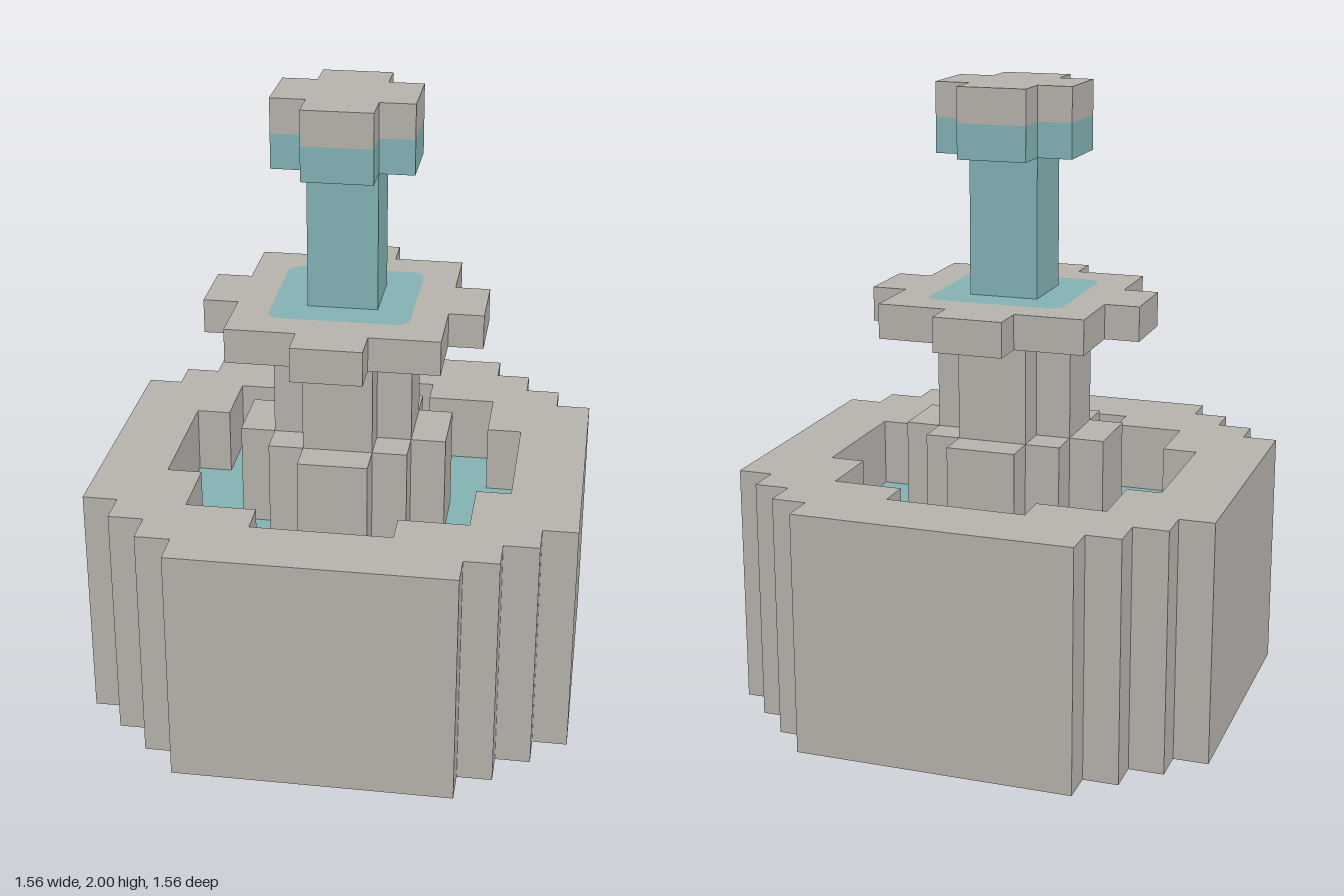
import * as THREE from 'three';

const U = 1 / 9; // one block

// Repeat a quarter outline four times by quarter turns, in block units (x, z)
function outline(quarter) {
  const pts = [];
  let q = quarter;
  for (let i = 0; i < 4; i++) {
    pts.push(...q);
    q = q.map(([x, z]) => [-z, x]);
  }
  return pts.map(([x, z]) => new THREE.Vector2(x * U, z * U));
}

// Upright flat faces along a closed outline
function wallGeometry(pts, y0, y1) {
  const pos = [];
  pts.forEach((a, i) => {
    const b = pts[(i + 1) % pts.length];
    const a0 = [a.x, y0 * U, a.y], a1 = [a.x, y1 * U, a.y];
    const b0 = [b.x, y0 * U, b.y], b1 = [b.x, y1 * U, b.y];
    pos.push(...a0, ...a1, ...b0, ...b0, ...a1, ...b1);
  });
  const g = new THREE.BufferGeometry();
  g.setAttribute('position', new THREE.Float32BufferAttribute(pos, 3));
  g.computeVertexNormals();
  return g;
}

// Level face with an optional opening
function plateGeometry(pts, y, hole) {
  const shape = new THREE.Shape(pts);
  if (hole) shape.holes.push(new THREE.Path(hole));
  const g = new THREE.ShapeGeometry(shape);
  g.rotateX(-Math.PI / 2);
  g.translate(0, y * U, 0);
  return g;
}

// Square outline with rounded corners
function roundedSquare(half, radius) {
  const quarter = [];
  for (let i = 0; i <= 4; i++) {
    const t = (i / 4) * Math.PI / 2;
    quarter.push([half - radius + radius * Math.cos(t), half - radius + radius * Math.sin(t)]);
  }
  return outline(quarter);
}

export function createModel() {
  const model = new THREE.Group();
  model.name = 'fountain';

  const stone = new THREE.MeshStandardMaterial({ color: 0xb5b1aa, side: THREE.DoubleSide });
  stone.name = 'stone';
  const water = new THREE.MeshStandardMaterial({ color: 0x82b1b3, side: THREE.DoubleSide });
  water.name = 'water';

  const add = (name, geometry, material) => {
    const mesh = new THREE.Mesh(geometry, material);
    mesh.name = name;
    model.add(mesh);
  };

  const basin = outline([[7, -4], [7, 4], [6, 4], [6, 5], [5, 5], [5, 6], [4, 6]]);
  const pool = outline([[5, -2], [5, 2], [4, 2], [4, 4], [2, 4]]);
  const foot = outline([[3, -1], [3, 1], [2, 1], [2, 2], [1, 2]]);
  const cross = outline([[2, -1], [2, 1], [1, 1]]);
  const bowl = outline([[4, -1], [4, 1], [3, 1], [3, 3], [1, 3]]);
  const square = outline([[1, -1]]);
  const puddle = roundedSquare(2, 0.4);

  // Basin, open underneath, with a sunken pool
  add('basinWall', wallGeometry(basin, 0, 7), stone);
  add('basinRim', plateGeometry(basin, 7, pool), stone);
  add('poolWall', wallGeometry([...pool].reverse(), 5, 7), stone);
  add('poolWater', plateGeometry(pool, 5), water);

  // Pedestal
  add('pedestalFoot', wallGeometry(foot, 5, 8), stone);
  add('pedestalFootTop', plateGeometry(foot, 8, cross), stone);
  add('pedestalColumn', wallGeometry(cross, 8, 11), stone);

  // Upper bowl, an open skirt with a puddle on top
  add('bowlSide', wallGeometry(bowl, 11, 12), stone);
  add('bowlTop', plateGeometry(bowl, 12, puddle), stone);
  add('bowlPuddle', plateGeometry(puddle, 12, square), water);

  // Water jet and its cap
  add('waterJet', wallGeometry(square, 12, 16), water);
  add('capWater', wallGeometry(cross, 16, 17), water);
  add('capSide', wallGeometry(cross, 17, 18), stone);
  add('capTop', plateGeometry(cross, 18), stone);

  return model;
}
